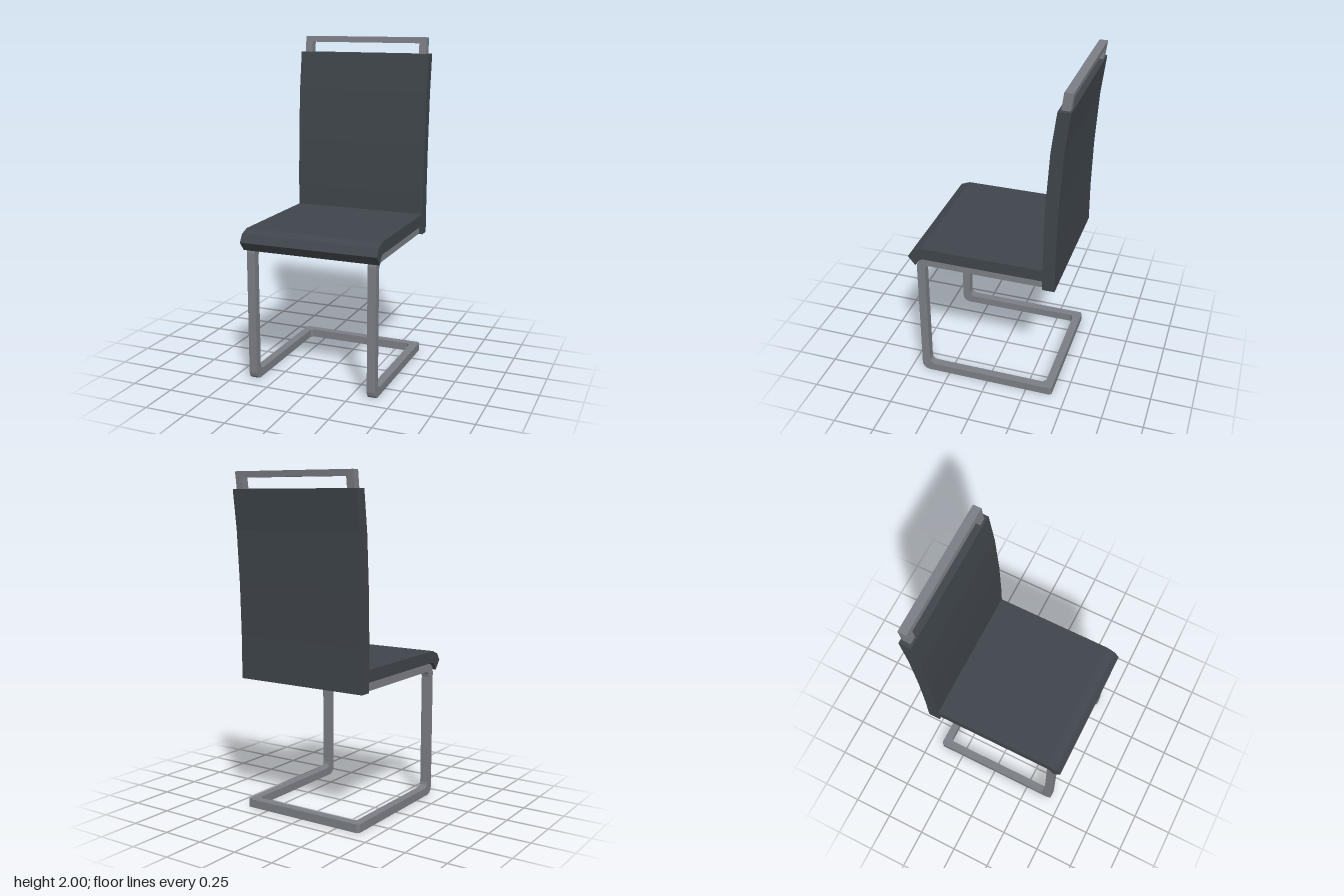
import * as THREE from 'three';

// Extrude a (z, y) side profile across x, centred on the given x
function sideExtrude(shape, width, x, material, name) {
  const geo = new THREE.ExtrudeGeometry(shape, { depth: width, bevelEnabled: false });
  geo.translate(0, 0, -width / 2);
  geo.rotateY(-Math.PI / 2);
  const mesh = new THREE.Mesh(geo, material);
  mesh.position.x = x;
  mesh.name = name;
  return mesh;
}

const polygon = (points) => new THREE.Shape(points.map(([a, b]) => new THREE.Vector2(a, b)));

// Points of a rounded corner, centred on (cx, cy), from angle a0 to a1 in degrees
function bend(cx, cy, r, a0, a1, steps = 3) {
  return Array.from({ length: steps + 1 }, (_, i) => {
    const a = THREE.MathUtils.degToRad(a0 + ((a1 - a0) * i) / steps);
    return [cx + r * Math.cos(a), cy + r * Math.sin(a)];
  });
}

export function createModel() {
  const chair = new THREE.Group();
  chair.name = 'cantileverChair';

  const upholstery = new THREE.MeshStandardMaterial({ color: 0x3f454b });
  upholstery.name = 'dark upholstery';
  const metal = new THREE.MeshStandardMaterial({ color: 0x7a7d84 });
  metal.name = 'grey metal';

  // Seat cushion with a drooping front lip
  const seat = polygon([
    [-0.35, 0.85], [0.385, 0.85], [0.41, 0.835], [0.43, 0.8], [0.475, 0.855],
    [0.445, 0.9], [0.39, 0.922], [-0.35, 0.922],
  ]);
  chair.add(sideExtrude(seat, 0.84, 0, upholstery, 'seat'));

  // Backrest, curving gently rearward
  const backrest = polygon([
    [-0.345, 0.793], [-0.345, 1.05], [-0.352, 1.35], [-0.372, 1.67], [-0.402, 1.902],
    [-0.474, 1.902], [-0.446, 1.67], [-0.426, 1.35], [-0.418, 1.05], [-0.418, 0.793],
  ]);
  chair.add(sideExtrude(backrest, 0.845, 0, upholstery, 'backrest'));

  // C-shaped side frames: seat rail, front leg and floor runner in one bent bar
  const sideFrame = polygon([
    [-0.36, 0.0],
    ...bend(0.385, 0.045, 0.045, -90, 0),
    ...bend(0.37, 0.785, 0.06, 0, 90),
    [-0.36, 0.845], [-0.36, 0.795],
    ...bend(0.345, 0.76, 0.035, 90, 0),
    ...bend(0.345, 0.085, 0.035, 0, -90),
    [-0.36, 0.05],
  ]);
  for (const side of [-1, 1]) {
    chair.add(sideExtrude(sideFrame, 0.05, side * 0.375, metal, side > 0 ? 'leftFrame' : 'rightFrame'));
  }

  // Rear floor bar, drawn in plan with small corner fillets
  const floorPlan = polygon([
    [-0.4, 0.36], [-0.4, 0.4], [-0.388, 0.413], [0.388, 0.413], [0.4, 0.4], [0.4, 0.36],
    [0.35, 0.36], [0.35, 0.345], [0.33, 0.363], [-0.33, 0.363], [-0.35, 0.345], [-0.35, 0.36],
  ]);
  const floorGeo = new THREE.ExtrudeGeometry(floorPlan, { depth: 0.05, bevelEnabled: false });
  floorGeo.rotateX(-Math.PI / 2);
  const floorBar = new THREE.Mesh(floorGeo, metal);
  floorBar.name = 'rearFloorBar';
  chair.add(floorBar);

  // Grab handle above the backrest, leaning back with it
  const handle = polygon([
    [-0.4, 1.86], [-0.355, 1.86], [-0.355, 1.965], [0.355, 1.965],
    [0.355, 1.86], [0.4, 1.86], [0.4, 2], [-0.4, 2],
  ]);
  const handleGeo = new THREE.ExtrudeGeometry(handle, { depth: 0.05, bevelEnabled: false });
  const pos = handleGeo.attributes.position;
  for (let i = 0; i < pos.count; i++) {
    pos.setZ(i, pos.getZ(i) - 0.478 + 0.13 * (2 - pos.getY(i)));
  }
  handleGeo.computeVertexNormals();
  const handleMesh = new THREE.Mesh(handleGeo, metal);
  handleMesh.name = 'grabHandle';
  chair.add(handleMesh);

  return chair;
}
